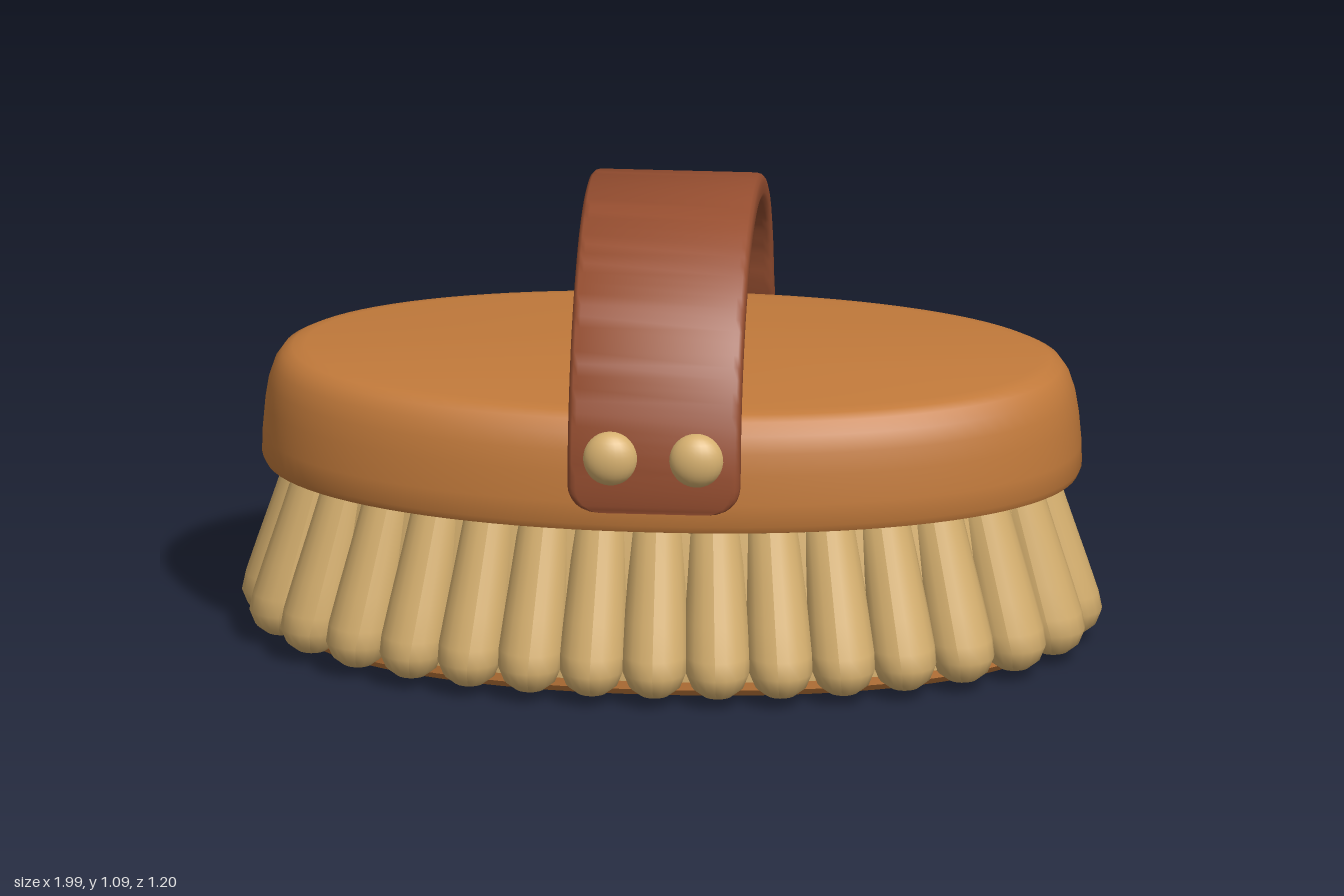
import * as THREE from 'three';
import { mergeGeometries, toCreasedNormals } from 'three/addons/utils/BufferGeometryUtils.js';

const mat = (name, color, side = THREE.FrontSide) => {
  const m = new THREE.MeshStandardMaterial({ color, side });
  m.name = name;
  return m;
};

// Slightly squared oval, angle measured from +x
const oval = (angle, a, b) => {
  const f = (v) => Math.sign(v) * Math.pow(Math.abs(v), 2 / 2.12);
  return [a * f(Math.cos(angle)), b * f(Math.sin(angle))];
};

// Solid with oval sections; profile holds [half length, height], bottom to top
function ovalSolid(profile, difference) {
  const geo = new THREE.LatheGeometry(profile.map(([a, y]) => new THREE.Vector2(a, y)), 96);
  const p = geo.attributes.position;
  for (let i = 0; i < p.count; i++) {
    const a = Math.hypot(p.getX(i), p.getZ(i));
    const [x, z] = oval(Math.atan2(p.getZ(i), p.getX(i)), a, Math.max(a - difference, 0));
    p.setX(i, x);
    p.setZ(i, z);
  }
  return toCreasedNormals(geo, 0.7);
}

// One bristle tuft leaning from its foot point to its top point
function tuft(foot, top) {
  const profile = [[0, 0.02], [0.035, 0.025], [0.06, 0.045], [0.074, 0.08], [0.077, 0.12],
    [0.073, 0.2], [0.067, 0.3], [0.06, 0.43]];
  const geo = new THREE.LatheGeometry(profile.map(([r, y]) => new THREE.Vector2(r, y)), 18);
  const p = geo.attributes.position;
  for (let i = 0; i < p.count; i++) {
    const t = Math.max(0, (p.getY(i) - 0.08) / 0.35);
    p.setX(i, p.getX(i) + THREE.MathUtils.lerp(foot.x, top.x, t));
    p.setZ(i, p.getZ(i) + THREE.MathUtils.lerp(foot.z, top.z, t));
  }
  geo.computeVertexNormals();
  return geo;
}

// Rounded flat band swept along a curve in the z-y plane, with rounded ends
function strapGeometry(curve, halfWidth, halfThick) {
  const section = [];
  const r = 0.02;
  for (const [sx, sn, start] of [[1, 1, 0], [-1, 1, 1], [-1, -1, 2], [1, -1, 3]]) {
    for (let k = 0; k <= 3; k++) {
      const a = (start + k / 3) * Math.PI / 2;
      section.push([sx, r * Math.cos(a) - sx * r, sn * (halfThick - r) + r * Math.sin(a)]);
    }
  }
  const length = curve.getLength(), corner = 0.06, stations = [];
  for (let i = 0; i <= 6; i++) stations.push(corner * (1 - Math.cos(i / 6 * Math.PI / 2)) / length);
  const middle = Array.from({ length: 59 }, (_, i) =>
    THREE.MathUtils.lerp(corner / length, 1 - corner / length, (i + 1) / 60));
  const all = [...stations, ...middle, ...stations.map((u) => 1 - u).reverse()];
  const pos = [], idx = [], n = section.length;
  all.forEach((u) => {
    const c = curve.getPointAt(u), t = curve.getTangentAt(u);
    const d = Math.max(0, corner - Math.min(u, 1 - u) * length);
    const w = halfWidth - corner + Math.sqrt(Math.max(0, corner * corner - d * d));
    for (const [sx, dx, o] of section) pos.push(sx * w + dx, c.y + t.z * o, c.z - t.y * o);
  });
  // Outward is on the side away from the arch centre
  for (let s = 0; s < all.length - 1; s++) {
    for (let k = 0; k < n; k++) {
      const a = s * n + k, b = s * n + (k + 1) % n;
      idx.push(a, a + n, b, b, a + n, b + n);
    }
  }
  const last = (all.length - 1) * n;
  for (let k = 1; k < n - 1; k++) {
    idx.push(0, k, k + 1, last, last + k + 1, last + k);
  }
  const geo = new THREE.BufferGeometry();
  geo.setAttribute('position', new THREE.Float32BufferAttribute(pos, 3));
  geo.setIndex(idx);
  return toCreasedNormals(geo, 0.9);
}

export function createModel() {
  const group = new THREE.Group();
  const wood = mat('wood', 0xc27a3b);
  const leather = mat('leather', 0x964e30, THREE.DoubleSide);
  const bristle = mat('bristle', 0xd6b06f);
  const add = (name, geo, material) => {
    const mesh = new THREE.Mesh(geo, material);
    mesh.name = name;
    group.add(mesh);
    return mesh;
  };

  // Wooden back with soft upper edge
  add('woodenBack', ovalSolid([[0, 0.405], [0.925, 0.405], [0.942, 0.411], [0.95, 0.428], [0.949, 0.48],
    [0.943, 0.55], [0.935, 0.6], [0.922, 0.64], [0.903, 0.668], [0.88, 0.68], [0.85, 0.685], [0, 0.685]],
  0.445), wood);

  // Sole plate under the bristles
  add('solePlate', ovalSolid([[0, 0], [0.86, 0], [0.885, 0.008], [0.9, 0.025], [0.9, 0.055], [0, 0.055]],
    0.405), wood);

  // Bristle core closing the gaps, and the ring of tufts
  add('bristleCore', ovalSolid([[0, 0.05], [0.92, 0.05], [0.92, 0.1], [0.85, 0.42], [0, 0.42]], 0.41), bristle);
  const ring = new THREE.CatmullRomCurve3(Array.from({ length: 64 }, (_, i) => {
    const [x, z] = oval(i / 64 * Math.PI * 2, 0.924, 0.522);
    return new THREE.Vector3(x, 0, z);
  }), true);
  const tufts = ring.getSpacedPoints(32).slice(0, 32).map((foot) =>
    tuft(foot, new THREE.Vector3(foot.x * 0.895, 0, foot.z * 0.785)));
  add('bristleTufts', mergeGeometries(tufts), bristle);

  // Leather hand strap, from front foot over the arch to back foot
  const path = new THREE.CatmullRomCurve3([[0.537, 0.48], [0.535, 0.6], [0.51, 0.7], [0.45, 0.82], [0.35, 0.93],
    [0.19, 1.025], [0, 1.057], [-0.2, 1.022], [-0.35, 0.935], [-0.435, 0.81], [-0.475, 0.69],
    [-0.52, 0.61], [-0.54, 0.56], [-0.54, 0.485]].map(([z, y]) => new THREE.Vector3(0, y, z)));
  add('handStrap', strapGeometry(path, 0.2, 0.033), leather);

  // Domed rivets, two on each strap foot
  for (const side of [1, -1]) {
    for (const x of [0.1, -0.1]) {
      const rivet = add(side > 0 ? 'frontRivet' : 'backRivet', new THREE.SphereGeometry(0.065, 24, 16), bristle);
      rivet.scale.z = 0.7;
      rivet.position.set(x, 0.61, side * 0.555);
    }
  }
  return group;
}
